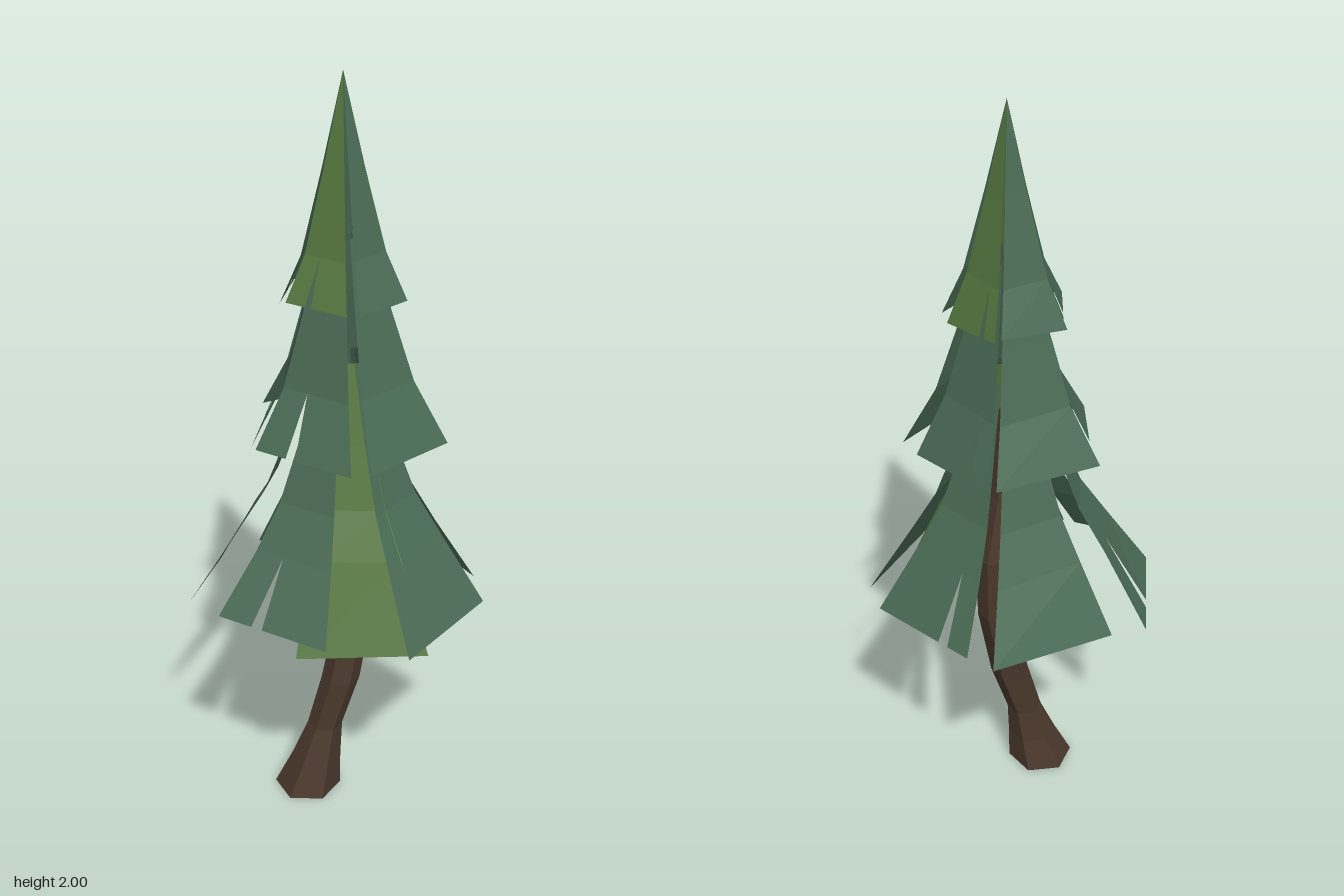
import * as THREE from 'three';

const green = new THREE.MeshStandardMaterial({ color: 0x4a6b55, flatShading: true, side: THREE.DoubleSide });
const olive = new THREE.MeshStandardMaterial({ color: 0x55773f, flatShading: true, side: THREE.DoubleSide });
const bark = new THREE.MeshStandardMaterial({ color: 0x4a382c, flatShading: true });

// All boughs spread from this vertical axis
const AXIS = { x: 0.02, z: 0.02 };

// Each tier: rows of [spread, height] above the hem, then its boughs.
// Bough: hem corners a and b as [x, y, z], optional notch position along the hem.
const tiers = [
  {
    name: 'lowerTier',
    rows: [[0.69, 0.82], [0.5, 0.94], [0.34, 1.1], [0.17, 1.3]],
    boughs: [
      { name: 'frontBough', a: [-0.15, 0.66, 0.34], b: [0.165, 0.66, 0.33], notch: 0.36 },
      { name: 'frontLeftBough', a: [0.06, 0.585, 0.305], b: [0.345, 0.6, 0.135], mat: olive },
      { name: 'leftBough', a: [0.335, 0.63, 0.215], b: [0.365, 0.63, -0.12] },
      { name: 'backLeftBough', a: [0.295, 0.64, -0.2], b: [-0.01, 0.66, -0.32], notch: 0.73 },
      { name: 'backRightBough', a: [-0.09, 0.66, -0.34], b: [-0.305, 0.63, -0.06] },
      { name: 'rightBough', a: [-0.37, 0.6, 0.03], b: [-0.28, 0.63, 0.295], notch: 0.35 },
    ],
  },
  {
    name: 'middleTier',
    rows: [[0.67, 1.25], [0.45, 1.43], [0.24, 1.62]],
    boughs: [
      { name: 'frontBough', a: [-0.1, 1.1, 0.23], b: [0.175, 1.1, 0.23], notch: 0.37 },
      { name: 'leftBough', a: [0.2, 1.09, 0.18], b: [0.27, 1.09, -0.07] },
      { name: 'backLeftBough', a: [0.22, 1.08, -0.095], b: [-0.03, 1.11, -0.225], notch: 0.73 },
      { name: 'backRightBough', a: [-0.055, 1.12, -0.23], b: [-0.235, 1.1, 0.003] },
      { name: 'rightBough', a: [-0.215, 1.09, 0.01], b: [-0.105, 1.11, 0.24], notch: 0.35 },
    ],
  },
  {
    name: 'upperTier',
    rows: [[0.66, 1.58], [0.33, 1.78], [0, 2]],
    boughs: [
      { name: 'frontBough', a: [-0.055, 1.47, 0.155], b: [0.115, 1.47, 0.155], notch: 0.37, mat: olive },
      { name: 'leftBough', a: [0.13, 1.46, 0.12], b: [0.17, 1.46, -0.03] },
      { name: 'backLeftBough', a: [0.145, 1.45, -0.055], b: [-0.015, 1.47, -0.14], notch: 0.73, mat: olive },
      { name: 'backRightBough', a: [-0.03, 1.48, -0.135], b: [-0.14, 1.46, 0.005] },
      { name: 'rightBough', a: [-0.13, 1.46, 0.01], b: [-0.065, 1.47, 0.165], notch: 0.35 },
    ],
  },
];

// A bent sheet of foliage that narrows toward the axis row by row
function bough({ name, a, b, notch, mat = green }, rows) {
  const A = new THREE.Vector3(...a), B = new THREE.Vector3(...b);
  const hem = (t) => A.clone().lerp(B, t);
  const at = ([f, y], t) => {
    const p = hem(t);
    return new THREE.Vector3(AXIS.x + (p.x - AXIS.x) * f, y, AXIS.z + (p.z - AXIS.z) * f);
  };
  const pos = [];
  const quad = (p, q, r, s) => [p, q, r, p, r, s].forEach((v) => pos.push(v.x, v.y, v.z));

  // Hem strip, split by a V-shaped notch where there is one
  const cuts = notch ? [[0, notch - 0.05, 0, notch], [notch + 0.05, 1, notch, 1]] : [[0, 1, 0, 1]];
  for (const [h0, h1, t0, t1] of cuts) quad(hem(h0), hem(h1), at(rows[0], t1), at(rows[0], t0));

  // Strips above the hem
  for (let i = 0; i < rows.length - 1; i++) {
    quad(at(rows[i], 0), at(rows[i], 1), at(rows[i + 1], 1), at(rows[i + 1], 0));
  }
  const geo = new THREE.BufferGeometry();
  geo.setAttribute('position', new THREE.Float32BufferAttribute(pos, 3));
  geo.computeVertexNormals();
  const mesh = new THREE.Mesh(geo, mat);
  mesh.name = name;
  return mesh;
}

// Six-sided trunk bent through rings of [x, y, z, radius]
function trunkPiece(name, rings) {
  const n = rings.length - 1;
  const geo = new THREE.CylinderGeometry(1, 1, 1, 6, n);
  const p = geo.attributes.position;
  for (let i = 0; i < p.count; i++) {
    const [x, y, z, r] = rings[Math.round((p.getY(i) + 0.5) * n)];
    p.setXYZ(i, x + p.getX(i) * r, y, z + p.getZ(i) * r);
  }
  geo.computeVertexNormals();
  const mesh = new THREE.Mesh(geo, bark);
  mesh.name = name;
  return mesh;
}

export function createModel() {
  const tree = new THREE.Group();
  tree.name = 'pineTree';

  tree.add(trunkPiece('trunk', [
    [-0.052, 0, 0.088, 0.09],
    [-0.032, 0.1, 0.072, 0.066],
    [-0.015, 0.2, 0.054, 0.047],
    [0.018, 0.35, 0.025, 0.051],
    [0.038, 0.58, -0.024, 0.048],
    [0.038, 0.77, -0.03, 0.045],
  ]));
  tree.add(trunkPiece('upperTrunk', [
    [0.038, 0.77, -0.03, 0.043],
    [0.025, 0.95, 0.0, 0.033],
    [0.02, 1.2, 0.015, 0.02],
  ]));

  for (const tier of tiers) {
    const group = new THREE.Group();
    group.name = tier.name;
    tier.boughs.forEach((spec) => group.add(bough(spec, tier.rows)));
    tree.add(group);
  }
  return tree;
}
